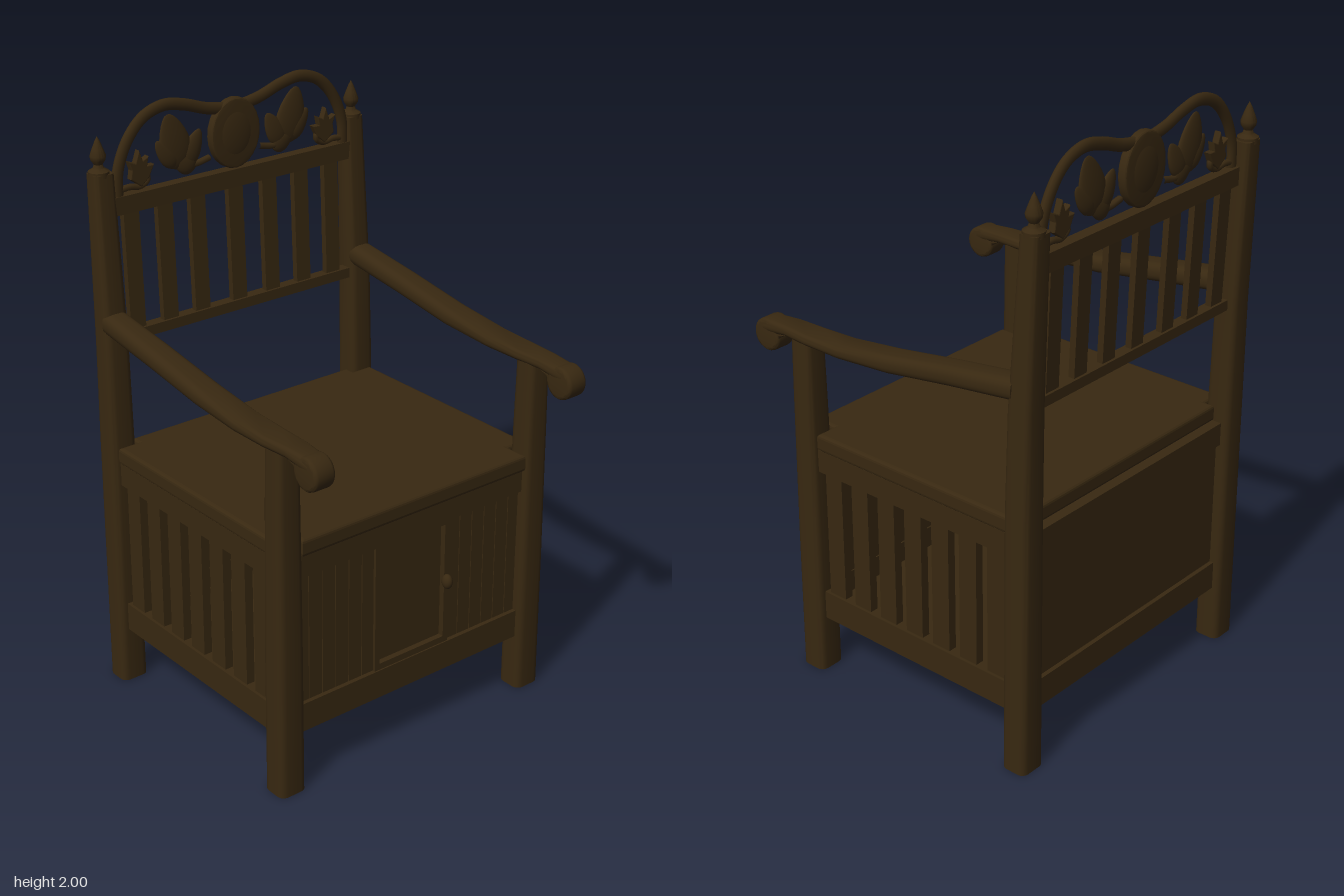
import * as THREE from 'three';
import { toCreasedNormals } from 'three/addons/utils/BufferGeometryUtils.js';

const wood = new THREE.MeshStandardMaterial({ color: 0x382811 });
wood.name = 'dark oak';

// outline of a rounded rectangle, counter-clockwise
function roundedRing(cx, cy, w, h, r) {
  const pts = [];
  const corners = [[1, 1], [-1, 1], [-1, -1], [1, -1]];
  corners.forEach(([sx, sy], q) => {
    for (let k = 0; k <= 4; k++) {
      const a = (q + k / 4) * Math.PI / 2;
      pts.push([cx + sx * (w / 2 - r) + r * Math.cos(a), cy + sy * (h / 2 - r) + r * Math.sin(a)]);
    }
  });
  return pts;
}

// skin over sections [x, y, z, width, height], z increasing; round is the corner share
function loft(sections, round) {
  const pos = [], idx = [];
  const n = 20;
  for (const [x, y, z, w, h] of sections) {
    for (const p of roundedRing(x, y, w, h, Math.min(w, h) * round)) pos.push(p[0], p[1], z);
  }
  const last = (sections.length - 1) * n;
  const c0 = pos.length / 3;
  for (const s of [sections[0], sections[sections.length - 1]]) pos.push(s[0], s[1], s[2]);
  for (let j = 0; j < n; j++) {
    const k = (j + 1) % n;
    for (let i = 0; i < last; i += n) idx.push(i + j, i + k, i + n + k, i + j, i + n + k, i + n + j);
    idx.push(c0, k, j, c0 + 1, last + j, last + k);
  }
  const g = new THREE.BufferGeometry();
  g.setAttribute('position', new THREE.Float32BufferAttribute(pos, 3));
  g.setIndex(idx);
  return toCreasedNormals(g, 0.7);
}

// upright post from sections [x, z, y, width, depth]
const post = (sections) =>
  loft(sections.map(([x, z, y, w, d]) => [x, -z, y, w, d]), 0.25).rotateX(-Math.PI / 2);

// flat shape with a softly bevelled edge, centred on z = 0
function plate(shape, depth, bevel) {
  const g = new THREE.ExtrudeGeometry(shape, {
    depth: depth - 2 * bevel, bevelEnabled: true, bevelThickness: bevel, bevelSize: bevel,
    bevelOffset: -bevel, bevelSegments: 3, curveSegments: 12,
  });
  return g.translate(0, 0, -(depth / 2 - bevel));
}

export function createModel() {
  const model = new THREE.Group();
  model.name = 'throneChair';
  const add = (name, geo, x = 0, y = 0, z = 0) => {
    const m = new THREE.Mesh(geo, wood);
    m.name = name;
    m.position.set(x, y, z);
    model.add(m);
    return m;
  };
  // box given by its limits
  const box = (name, x0, x1, y0, y1, z0, z1) =>
    add(name, new THREE.BoxGeometry(x1 - x0, y1 - y0, z1 - z0), (x0 + x1) / 2, (y0 + y1) / 2, (z0 + z1) / 2);

  const finial = [[0, -0.01], [0.034, -0.01], [0.034, 0.008], [0.018, 0.018], [0.014, 0.03], [0.024, 0.045],
    [0.026, 0.058], [0.018, 0.08], [0.008, 0.105], [0, 0.12]].map((p) => new THREE.Vector2(...p));

  for (const s of [-1, 1]) {
    // legs and back posts
    add('frontLeg', post([[s * 0.508, 0.372, 0, 0.1, 0.095], [s * 0.508, 0.372, 0.5, 0.098, 0.094],
      [s * 0.508, 0.374, 1.0, 0.09, 0.084], [s * 0.508, 0.375, 1.21, 0.084, 0.08]]));
    add('backPost', post([[s * 0.508, -0.514, 0, 0.1, 0.092], [s * 0.508, -0.515, 0.9, 0.094, 0.092],
      [s * 0.506, -0.52, 1.25, 0.088, 0.086], [s * 0.503, -0.546, 1.8, 0.074, 0.064]]));
    add('finial', toCreasedNormals(new THREE.LatheGeometry(finial, 16), 0.7), s * 0.508, 1.8, -0.546);

    // armrest with a rolled front end
    add('armrest', loft([[s * 0.508, 1.315, -0.5, 0.09, 0.072], [s * 0.508, 1.28, -0.25, 0.094, 0.066],
      [s * 0.508, 1.24, 0, 0.098, 0.06], [s * 0.51, 1.22, 0.2, 0.1, 0.044], [s * 0.51, 1.217, 0.34, 0.098, 0.036],
      [s * 0.508, 1.217, 0.44, 0.086, 0.036], [s * 0.508, 1.205, 0.54, 0.076, 0.05]], 0.4));
    const roll = new THREE.Shape().absarc(0, 0, 0.055, 0, Math.PI * 2);
    add('armScroll', toCreasedNormals(plate(roll, 0.076, 0.012), 0.7).rotateY(Math.PI / 2), s * 0.508, 1.178, 0.527);
    const neck = new THREE.Shape([[0.5, 1.2], [0.44, 1.2], [0.47, 1.185], [0.49, 1.15], [0.53, 1.14]]
      .map(([z, y]) => new THREE.Vector2(-z, y)));
    add('armScrollNeck', plate(neck, 0.07, 0.006).rotateY(Math.PI / 2), s * 0.508);

    // slatted sides
    const side = (name, y0, y1, z0, z1, t) => box(name, s * 0.505 - t / 2, s * 0.505 + t / 2, y0, y1, z0, z1);
    side('sideTopRail', 0.75, 0.83, -0.48, 0.34, 0.05);
    side('sideBottomRail', 0.2, 0.3, -0.48, 0.34, 0.05);
    for (let i = 0; i < 7; i++) {
      const z = 0.273 - i * 0.1147;
      side('sideSlat', 0.29, 0.76, z - 0.035, z + 0.035, 0.03);
    }
  }

  // seat board notched round the four posts
  const sx = 0.46, ox = 0.535, zf = 0.41, zi = 0.325, bi = 0.468, zb = 0.505;
  const seat = new THREE.Shape([[-sx, -zf], [sx, -zf], [sx, -zi], [ox, -zi], [ox, bi], [sx, bi], [sx, zb],
    [-sx, zb], [-sx, bi], [-ox, bi], [-ox, -zi], [-sx, -zi]].map((p) => new THREE.Vector2(...p)));
  add('seat', plate(seat, 0.06, 0.012).rotateX(-Math.PI / 2), 0, 0.858, 0);

  // front and back of the cupboard, and its floor
  box('frontTopRail', -0.47, 0.47, 0.75, 0.83, 0.35, 0.395);
  box('frontBottomRail', -0.47, 0.47, 0.2, 0.3, 0.35, 0.395);
  box('frontBacking', -0.47, 0.47, 0.29, 0.76, 0.355, 0.37);
  box('backTopRail', -0.47, 0.47, 0.75, 0.83, -0.535, -0.49);
  box('backBottomRail', -0.47, 0.47, 0.2, 0.3, -0.535, -0.49);
  box('backPanel', -0.47, 0.47, 0.29, 0.76, -0.52, -0.5);
  box('floor', -0.5, 0.5, 0.205, 0.225, -0.5, 0.36);

  // tongue-and-groove planks beside the door
  for (const s of [-1, 1]) {
    for (let i = 0; i < 6; i++) {
      const x = s * (0.178 + i * 0.053);
      box('frontPlank', x - 0.025, x + 0.025, 0.3, 0.75, 0.365, 0.38);
    }
  }

  // framed door with a knob
  for (const x of [-0.147, 0.143]) box('doorStile', x - 0.01, x + 0.01, 0.3, 0.75, 0.365, 0.39);
  box('doorTop', -0.147, 0.143, 0.735, 0.75, 0.365, 0.39);
  box('doorBottom', -0.147, 0.143, 0.3, 0.322, 0.365, 0.39);
  box('doorPanel', -0.13, 0.118, 0.33, 0.728, 0.365, 0.377);
  add('doorKnob', new THREE.SphereGeometry(0.02, 16, 12).scale(0.85, 1.3, 1), 0.138, 0.53, 0.4);

  // backrest rails and slats, leaning with the posts
  box('backrestLowerRail', -0.475, 0.475, 1.235, 1.27, -0.535, -0.495);
  box('backrestUpperRail', -0.475, 0.475, 1.66, 1.72, -0.55, -0.51);
  for (const x of [-0.412, -0.283, -0.155, -0.003, 0.135, 0.268, 0.397]) {
    box('backrestSlat', x - 0.029, x + 0.029, 1.26, 1.67, -0.011, 0.011).position.z = -0.522;
    model.children[model.children.length - 1].rotation.x = -0.036;
  }

  // double-humped crest arch
  const half = [[0.455, 1.71], [0.45, 1.8], [0.412, 1.89], [0.35, 1.955], [0.27, 1.98], [0.19, 1.967], [0.1, 1.938]];
  const path = [...half.map(([x, y]) => [-x, y]), [0, 1.925], ...half.slice().reverse()]
    .map(([x, y]) => new THREE.Vector3(x, y, 0));
  add('crestArch', new THREE.TubeGeometry(new THREE.CatmullRomCurve3(path), 80, 0.02, 10).scale(1, 1, 0.7), 0, 0, -0.526);

  // oval medallion
  const oval = new THREE.Shape().absellipse(0, 0, 0.098, 0.118, 0, Math.PI * 2);
  add('medallion', toCreasedNormals(plate(oval, 0.032, 0.008), 0.5), 0, 1.84, -0.526);
  add('medallionDome', new THREE.SphereGeometry(1, 32, 16).scale(0.084, 0.103, 0.022), 0, 1.84, -0.526);

  // carved leaves
  for (const s of [-1, 1]) {
    const leaf = (name, x, y, len, wid, tilt) => {
      const m = add(name, new THREE.SphereGeometry(1, 20, 12), s * x, y, -0.526);
      const p = m.geometry.attributes.position;
      // pointed at the tip, full at the base
      for (let i = 0; i < p.count; i++) {
        const v = p.getY(i), f = 1 - 0.3 * v;
        p.setXYZ(i, p.getX(i) * f * wid / 2, v * len / 2, p.getZ(i) * f * 0.014);
      }
      m.geometry.computeVertexNormals();
      m.rotation.z = -s * tilt;
    };
    leaf('largeLeaf', 0.235, 1.855, 0.19, 0.115, 0.25);
    leaf('largeLeafLobe', 0.165, 1.82, 0.13, 0.07, -0.5);
    leaf('largeLeafLobe', 0.2, 1.78, 0.1, 0.07, 1.0);
    leaf('largeLeafLobe', 0.265, 1.82, 0.12, 0.065, 0.7);
    // small three-pointed leaf
    const tri = new THREE.Shape([[0.0, -0.06], [0.03, -0.035], [0.05, 0.005], [0.024, 0.005], [0.03, 0.035], [0.008, 0.025],
      [-0.005, 0.06], [-0.02, 0.02], [-0.045, 0.03], [-0.035, 0], [-0.04, -0.03]].map(([x, y]) => new THREE.Vector2(-s * x, y)));
    add('smallLeaf', plate(tri, 0.024, 0.004), s * 0.37, 1.795, -0.526);
    // stems joining the leaves to the rail
    const stem = (pts) => add('leafStem', new THREE.TubeGeometry(new THREE.CatmullRomCurve3(
      pts.map(([x, y]) => new THREE.Vector3(s * x, y, 0))), 16, 0.011, 8), 0, 0, -0.526);
    stem([[0.1, 1.775], [0.16, 1.765], [0.22, 1.78], [0.25, 1.83]]);
    stem([[0.46, 1.735], [0.41, 1.74], [0.37, 1.735], [0.34, 1.755], [0.36, 1.79]]);
  }
  return model;
}
